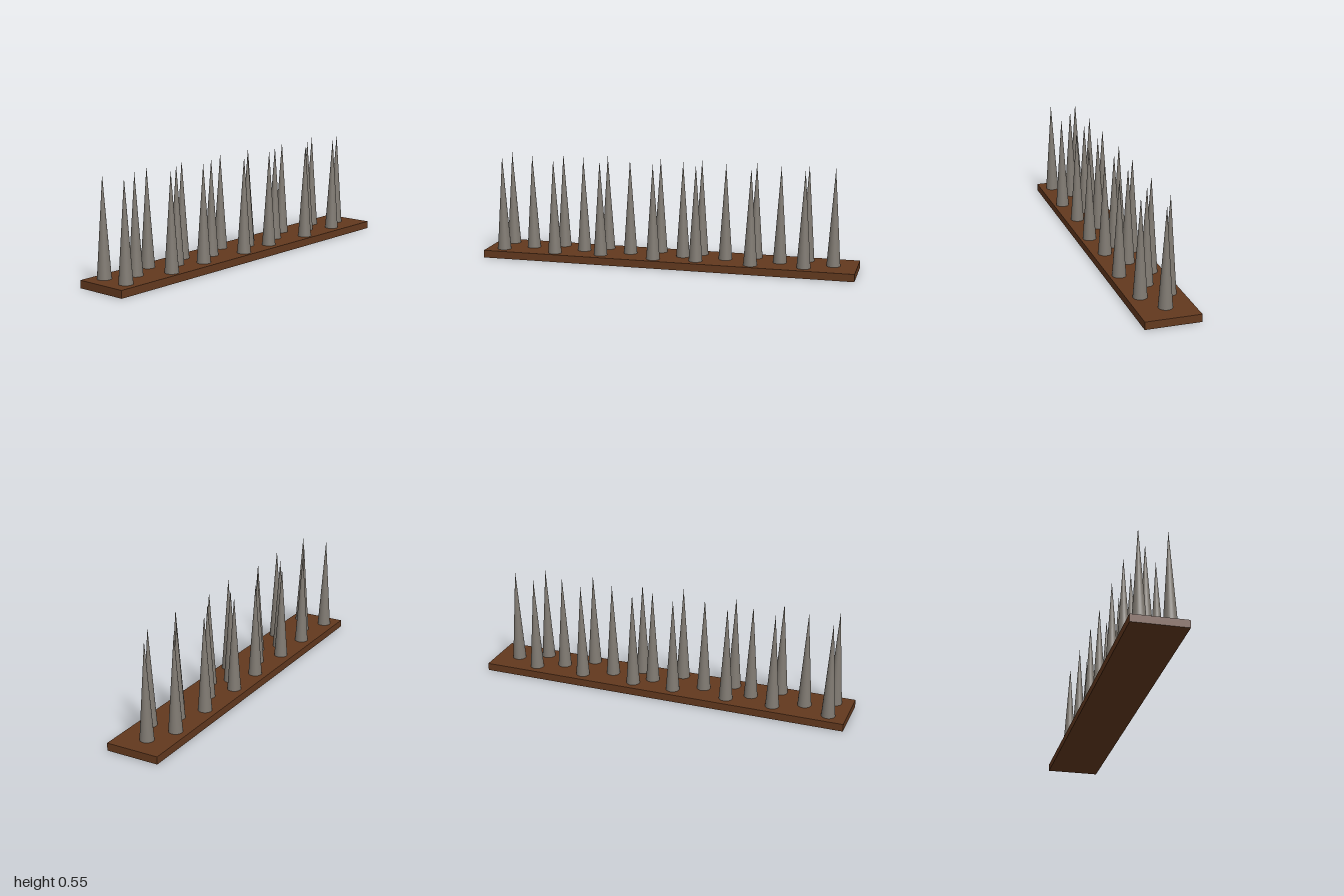
import * as THREE from 'three';

export function createModel() {
  const group = new THREE.Group();
  const wood = new THREE.MeshStandardMaterial({ color: 0x63391e });
  wood.name = 'brown wood';
  const metal = new THREE.MeshStandardMaterial({ color: 0x807a72 });
  metal.name = 'grey metal';

  // Plank lying along z
  const baseHeight = 0.04;
  const plank = new THREE.Mesh(new THREE.BoxGeometry(0.284, baseHeight, 2), wood);
  plank.name = 'plank';
  plank.position.y = baseHeight / 2;
  group.add(plank);

  // Spikes standing on the plank
  const spikeHeight = 0.51;
  const spikeGeometry = new THREE.ConeGeometry(0.036, spikeHeight, 32);
  const addSpike = (name, x, z) => {
    const spike = new THREE.Mesh(spikeGeometry, metal);
    spike.name = name;
    spike.position.set(x, baseHeight + spikeHeight / 2, z);
    group.add(spike);
  };

  // Middle row
  const middleZ = [0.763, 0.473, 0.213, -0.077, -0.307, -0.597, -0.876];
  middleZ.forEach((z) => addSpike('middleSpike', -0.003, z));

  // Side pairs; every second left spike sits slightly further out
  const pairZ = [0.906, 0.61, 0.358, 0.063, -0.163, -0.457, -0.732];
  pairZ.forEach((z, i) => {
    addSpike('rightSpike', -0.074, z);
    addSpike('leftSpike', i % 2 ? 0.091 : 0.074, z);
  });

  return group;
}
